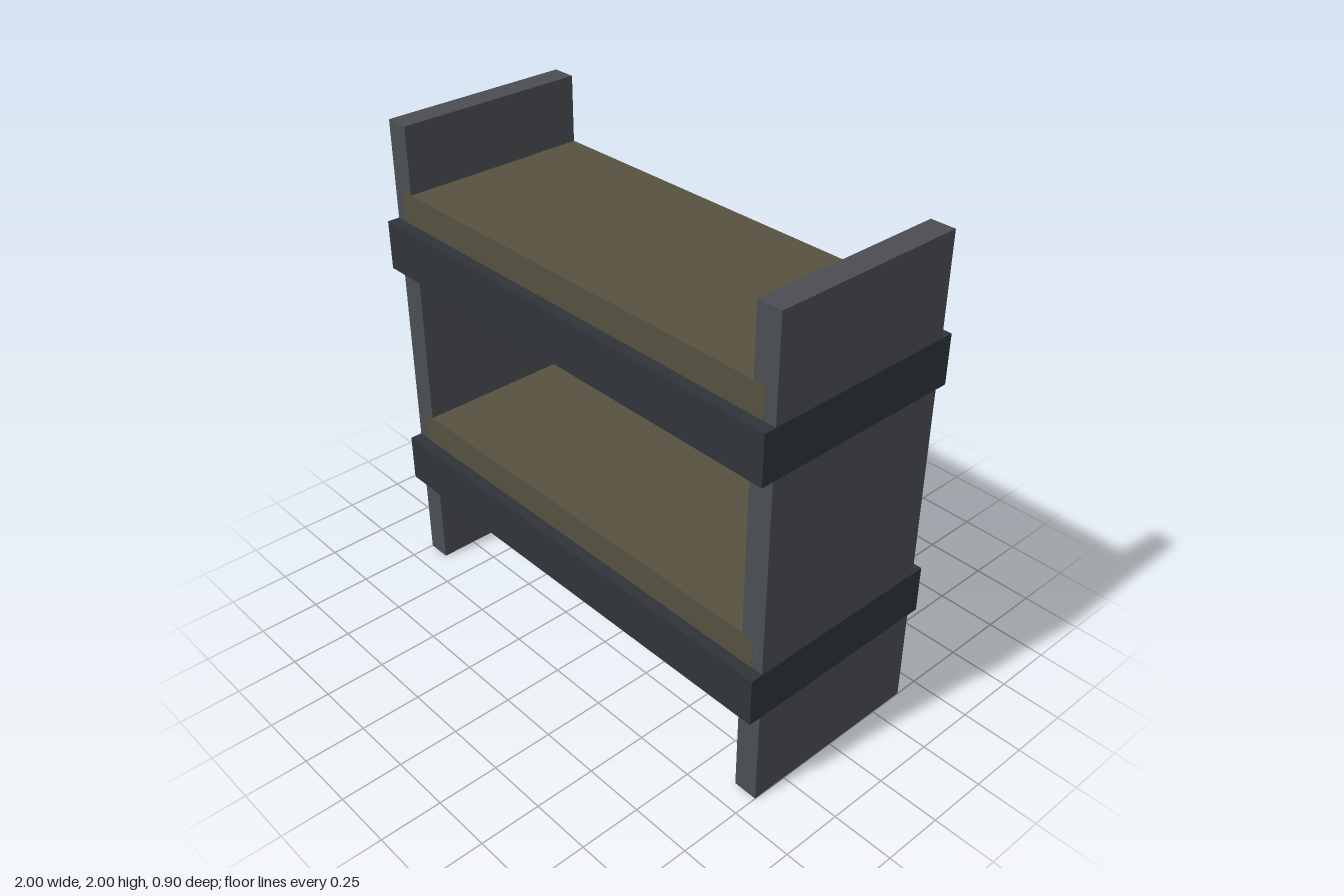
import * as THREE from 'three';

export function createModel() {
  const model = new THREE.Group();
  model.name = 'bunkBed';

  const panelMat = new THREE.MeshStandardMaterial({ color: 0x4a4d53 });
  const frameMat = new THREE.MeshStandardMaterial({ color: 0x303438 });
  const mattressMat = new THREE.MeshStandardMaterial({ color: 0x56513f });

  // box from its size and the height of its underside
  function box(name, material, w, h, d, x, bottom) {
    const mesh = new THREE.Mesh(new THREE.BoxGeometry(w, h, d), material);
    mesh.name = name;
    mesh.position.set(x, bottom + h / 2, 0);
    model.add(mesh);
  }

  // end panels, a hair inside the frame ends so faces do not overlap
  for (const side of [-1, 1]) {
    box(side > 0 ? 'leftEndPanel' : 'rightEndPanel', panelMat, 0.1, 2, 0.8, side * 0.949, 0);
  }

  // two bunks: a solid frame with a mattress on top
  for (const [level, y] of [['lower', 0.4], ['upper', 1.4]]) {
    box(level + 'BunkFrame', frameMat, 2, 0.2, 0.9, 0, y);
    box(level + 'Mattress', mattressMat, 1.9, 0.225, 0.802, 0, y + 0.1);
  }

  return model;
}
